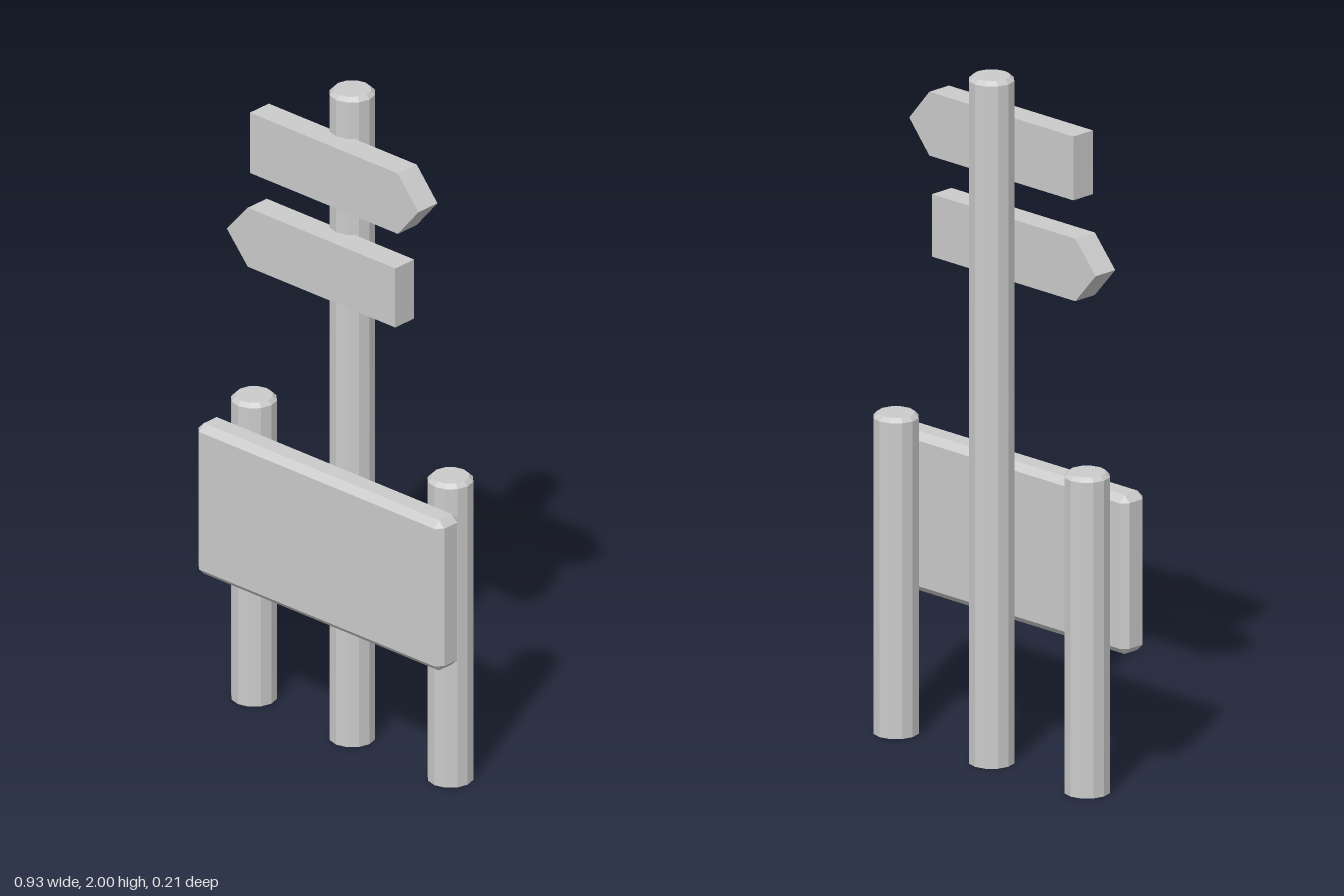
import * as THREE from 'three';
import { ConvexGeometry } from 'three/addons/geometries/ConvexGeometry.js';

const material = new THREE.MeshStandardMaterial({ color: 0xcccccc, flatShading: true });

function addMesh(group, name, geometry, x, y, z) {
  const mesh = new THREE.Mesh(geometry, material);
  mesh.name = name;
  mesh.position.set(x, y, z);
  group.add(mesh);
}

// Twelve-sided post with a chamfered top edge
function postGeometry(height, radius = 0.065, bevel = 0.012) {
  const profile = [
    [0, 0], [radius, 0], [radius, height - bevel], [radius - bevel, height], [0, height],
  ].map(([r, y]) => new THREE.Vector2(r, y));
  return new THREE.LatheGeometry(profile, 12);
}

// Box with every edge and corner chamfered
function chamferedBox(width, height, depth, bevel) {
  const half = new THREE.Vector3(width / 2, height / 2, depth / 2);
  const points = [];
  for (const sx of [-1, 1]) for (const sy of [-1, 1]) for (const sz of [-1, 1]) {
    for (let axis = 0; axis < 3; axis++) {
      const corner = half.clone().subScalar(bevel);
      corner.setComponent(axis, half.getComponent(axis));
      points.push(corner.multiply(new THREE.Vector3(sx, sy, sz)));
    }
  }
  return new ConvexGeometry(points);
}

// Plank with one pointed end; dir is +1 for a tip at +x, -1 for a tip at -x
function arrowGeometry(dir, tail, shoulder, tip, height, depth) {
  const h = height / 2;
  const outline = [[-tail, -h], [shoulder, -h], [tip, 0], [shoulder, h], [-tail, h]];
  const shape = new THREE.Shape(outline.map(([x, y]) => new THREE.Vector2(dir * x, y)));
  return new THREE.ExtrudeGeometry(shape, { depth, bevelEnabled: false });
}

export function createModel() {
  const group = new THREE.Group();
  group.name = 'signpost';

  // Posts
  const postZ = -0.041;
  addMesh(group, 'centrePost', postGeometry(2), 0, 0, postZ);
  addMesh(group, 'leftPost', postGeometry(0.932), 0.371, 0, postZ);
  addMesh(group, 'rightPost', postGeometry(0.932), -0.371, 0, postZ);

  // Notice board
  addMesh(group, 'noticeBoard', chamferedBox(0.928, 0.464, 0.092, 0.02), 0, 0.632, 0.058);

  // Direction arrows
  addMesh(group, 'upperArrow', arrowGeometry(1, 0.276, 0.283, 0.361, 0.186, 0.077), 0, 1.783, 0.001);
  addMesh(group, 'lowerArrow', arrowGeometry(-1, 0.273, 0.284, 0.363, 0.182, 0.077), 0, 1.489, 0.001);

  return group;
}
